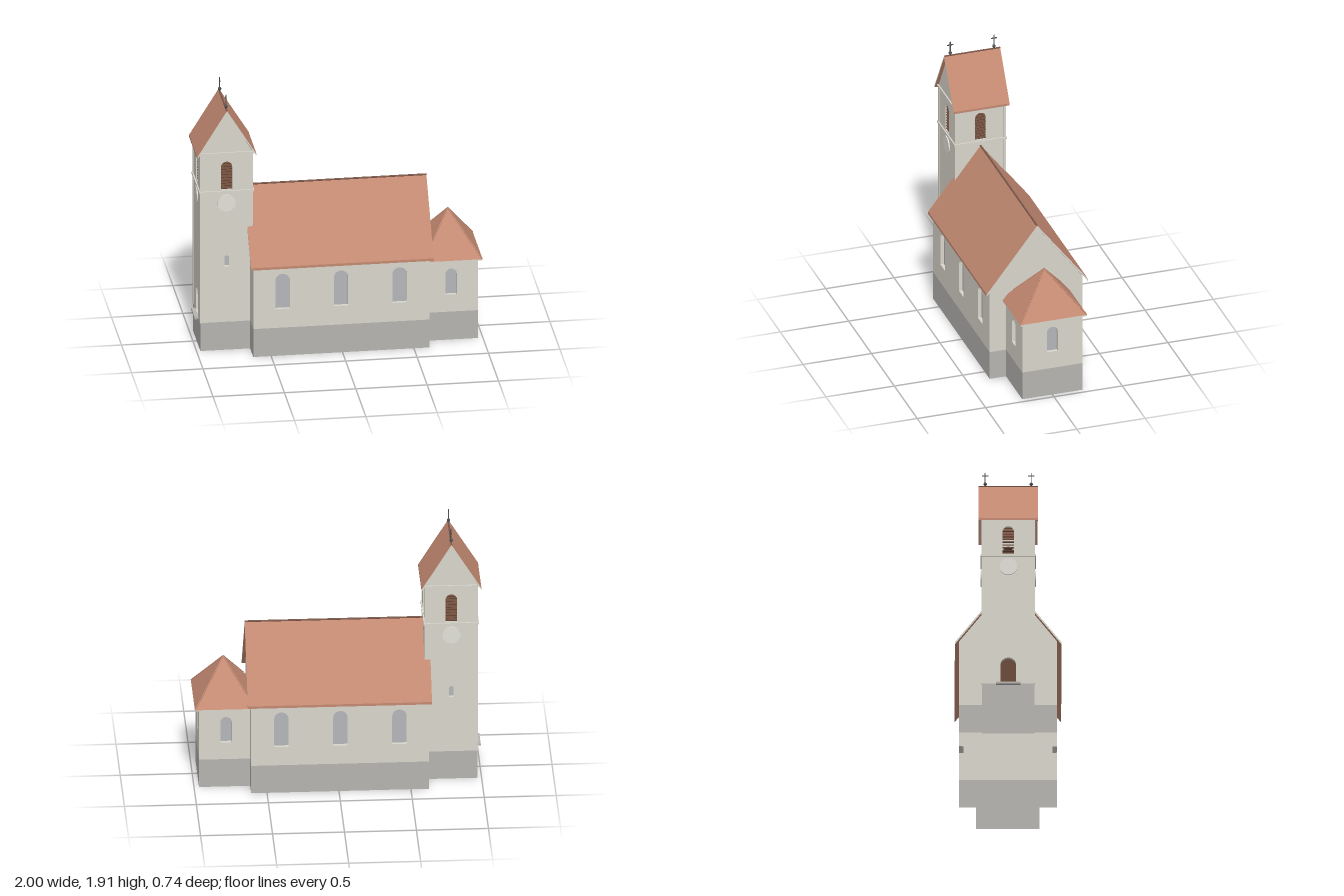
import * as THREE from 'three';

const mat = (color) => new THREE.MeshStandardMaterial({ color, side: THREE.DoubleSide });
const plaster = mat(0xd9d6cc), stone = mat(0xb6b4b0), tile = mat(0xc48a72), ridgeTile = mat(0x7d594b),
  glass = mat(0xb4b6ba), timber = mat(0x6b4a3a), iron = mat(0x4c5250), dial = mat(0xe2e0d8);
const PLINTH = 0.21;

function add(parent, name, geometry, material, x = 0, y = 0, z = 0) {
  const mesh = new THREE.Mesh(geometry, material);
  mesh.name = name;
  mesh.position.set(x, y, z);
  parent.add(mesh);
  return mesh;
}
const box = (w, h, d) => new THREE.BoxGeometry(w, h, d);

// Round-headed outline of width w, from y0 up to y1, centred on x
function arch(x, w, y0, y1, Type = THREE.Shape) {
  const r = w / 2, s = new Type();
  s.moveTo(x - r, y0);
  s.lineTo(x + r, y0);
  s.lineTo(x + r, y1 - r);
  s.absarc(x, y1 - r, r, 0, Math.PI, false);
  s.lineTo(x - r, y0);
  return s;
}

// Recessed opening: reveal all round, filled with a pane, a door or louvres
function opening(parent, { x = 0, w, y0, y1, kind = 'window' }) {
  const depth = 0.03, e = 0.004;
  const reveal = arch(x, w + 2 * e, y0 - e, y1 + e);
  reveal.holes.push(arch(x, w, y0, y1, THREE.Path));
  add(parent, kind + 'Reveal', new THREE.ExtrudeGeometry(reveal, { depth, bevelEnabled: false, curveSegments: 8 }),
    plaster, 0, 0, -depth - 0.001);
  if (kind !== 'louvre') {
    add(parent, kind + 'Pane', new THREE.ShapeGeometry(arch(x, w, y0, y1), 8),
      kind === 'door' ? timber : glass, 0, 0, -depth + 0.004);
    return;
  }
  const n = 10, r = w / 2;
  for (let i = 0; i < n; i++) {
    const y = y0 + (y1 - y0) * (i + 0.5) / n, up = Math.max(0, y - (y1 - r));
    add(parent, 'louvreSlat', box(2 * Math.sqrt(r * r - up * up), 0.005, 0.022), timber, x, y, -0.016).rotation.x = 0.6;
  }
}

// Wall with plinth, optional gable peak and openings; built facing +z, then turned
function wall(parent, name, { width, top, peak, openings = [], x, z, turn }) {
  const g = new THREE.Group(), h = width / 2;
  g.name = name;
  g.position.set(x, 0, z);
  g.rotation.y = turn;
  const s = new THREE.Shape();
  s.moveTo(-h, PLINTH);
  s.lineTo(h, PLINTH);
  s.lineTo(h, top);
  if (peak) s.lineTo(0, peak);
  s.lineTo(-h, top);
  for (const o of openings) s.holes.push(arch(o.x || 0, o.w, o.y0, o.y1, THREE.Path));
  add(g, name + 'Face', new THREE.ShapeGeometry(s, 8), plaster);
  add(g, name + 'Plinth', new THREE.PlaneGeometry(width, PLINTH), stone, 0, PLINTH / 2, 0);
  openings.forEach((o) => opening(g, o));
  parent.add(g);
}

// Four walls around a rectangle; sides are listed front, right (+x), back, left (-x)
function room(parent, name, cx, hx, hz, top, sides) {
  ['Front', 'East', 'Back', 'West'].forEach((label, i) => {
    const a = i * Math.PI / 2;
    wall(parent, name + label + 'Wall', {
      width: i % 2 ? 2 * hz : 2 * hx, top, ...sides[i],
      x: cx + Math.round(Math.sin(a)) * hx, z: Math.round(Math.cos(a)) * hz, turn: a,
    });
  });
}

// Both slopes of a saddle roof between distances s0 and s1 from the ridge, extruded along +z
function slopes(parent, name, ridge, pitch, s0, s1, length, thick, place) {
  for (const side of [1, -1]) {
    const y = (s) => ridge - pitch * s;
    const shape = new THREE.Shape([[s0, y(s0)], [s0, y(s0) - thick], [s1, y(s1) - thick], [s1, y(s1)]]
      .map(([s, v]) => new THREE.Vector2(side * s, v)));
    const geo = new THREE.ExtrudeGeometry(shape, { depth: length, bevelEnabled: false });
    place(add(parent, name, geo, [plaster, tile]));
  }
}

function rod(parent, name, a, b, r, material) {
  add(parent, name, new THREE.TubeGeometry(new THREE.LineCurve3(new THREE.Vector3(...a), new THREE.Vector3(...b)),
    1, r, 6, false), material);
}

function buildTower() {
  const g = new THREE.Group(), cx = -0.79, half = 0.183;
  g.name = 'tower';
  const bell = { w: 0.08, y0: 1.205, y1: 1.415, kind: 'louvre' };
  const slit = { w: 0.03, y0: 0.625, y1: 0.71 };
  const door = { w: 0.11, y0: 0.216, y1: 0.41, kind: 'door' };
  room(g, 'tower', cx, half, half, 1.48, [
    { peak: 1.785, openings: [slit, bell] }, { openings: [bell] },
    { peak: 1.785, openings: [slit, bell] }, { openings: [door, bell] },
  ]);
  // Corner strips and string courses
  for (const sx of [-1, 1]) for (const sz of [-1, 1])
    add(g, 'cornerStrip', box(0.016, 1.27, 0.016), plaster, cx + sx * 0.178, 0.845, sz * 0.178);
  for (const y of [1.19, 1.478]) for (const s of [-1, 1]) {
    add(g, 'stringCourse', box(0.385, 0.016, 0.012), plaster, cx, y, s * 0.1865);
    add(g, 'stringCourse', box(0.012, 0.016, 0.385), plaster, cx + s * 0.1865, y, 0);
  }
  // Clock dials on the three free sides
  for (const a of [0, Math.PI, -Math.PI / 2]) {
    const d = add(g, 'clockDial', new THREE.CylinderGeometry(0.063, 0.063, 0.008, 32).rotateX(Math.PI / 2).rotateY(a), dial);
    d.position.set(cx + Math.sin(a) * 0.187, 1.105, Math.cos(a) * 0.187);
  }
  add(g, 'doorStep', box(0.04, 0.016, 0.17), stone, -0.98, 0.207, 0);
  // Saddle roof with its ridge along z
  slopes(g, 'towerRoof', 1.805, 1.62, 0, 0.208, 0.41, 0.016, (m) => m.position.set(cx, 0, -0.205));
  rod(g, 'towerRidge', [cx, 1.803, -0.205], [cx, 1.803, 0.205], 0.006, ridgeTile);
  // Finial crosses
  for (const z of [-0.16, 0.16]) {
    add(g, 'finialBall', new THREE.SphereGeometry(0.012, 12, 8), iron, cx, 1.822, z);
    add(g, 'crossPost', box(0.006, 0.1, 0.006), iron, cx, 1.858, z);
    add(g, 'crossArm', box(0.006, 0.006, 0.045), iron, cx, 1.884, z);
  }
  return g;
}

function buildNave() {
  const g = new THREE.Group(), cx = -0.0075, hx = 0.6175;
  g.name = 'nave';
  const row = (sign) => [-0.42, -0.01, 0.4].map((x) => ({ x: sign * (x - cx), w: 0.1, y0: 0.35, y1: 0.615 }));
  room(g, 'nave', cx, hx, 0.34, 0.695, [{ openings: row(1) }, { peak: 1.14 }, { openings: row(-1) }, { peak: 1.14 }]);
  // Main roof, notched around the tower at its west end
  const along = (x) => (m) => { m.rotation.y = Math.PI / 2; m.position.x = x; };
  slopes(g, 'naveRoof', 1.162, 1.3, 0, 0.37, 1.237, 0.018, along(-0.602));
  slopes(g, 'naveRoofWestEnd', 1.162, 1.3, 0.186, 0.37, 0.043, 0.018, along(-0.645));
  rod(g, 'naveRidge', [-0.602, 1.16, 0], [0.635, 1.16, 0], 0.007, ridgeTile);
  return g;
}

function buildChoir() {
  const g = new THREE.Group(), cx = 0.7875, ax = 0.785;
  g.name = 'choir';
  const win = { w: 0.08, y0: 0.338, y1: 0.533 };
  room(g, 'choir', cx, 0.1775, 0.22, 0.6, [
    { openings: [{ ...win, x: -0.01 }] }, { openings: [win] }, { openings: [{ ...win, x: 0.01 }] }, {}]);
  // Pyramid roof on a thin eaves board
  const pyramid = new THREE.ConeGeometry(Math.SQRT2, 0.3, 4, 1, true).toNonIndexed().rotateY(Math.PI / 4).scale(0.21, 1, 0.245);
  pyramid.computeVertexNormals();
  add(g, 'choirRoof', pyramid, tile, ax, 0.752, 0);
  add(g, 'eavesBoard', box(0.385, 0.01, 0.486), plaster, 0.8015, 0.597, 0);
  // Hip tiles
  for (const sz of [-1, 1]) {
    rod(g, 'hipTiles', [ax, 0.9, 0], [0.993, 0.604, sz * 0.243], 0.005, tile);
    rod(g, 'hipTiles', [ax, 0.9, 0], [0.635, 0.686, sz * 0.175], 0.005, tile);
  }
  return g;
}

export function createModel() {
  const model = new THREE.Group();
  model.name = 'church';
  model.add(buildTower(), buildNave(), buildChoir());
  return model;
}
